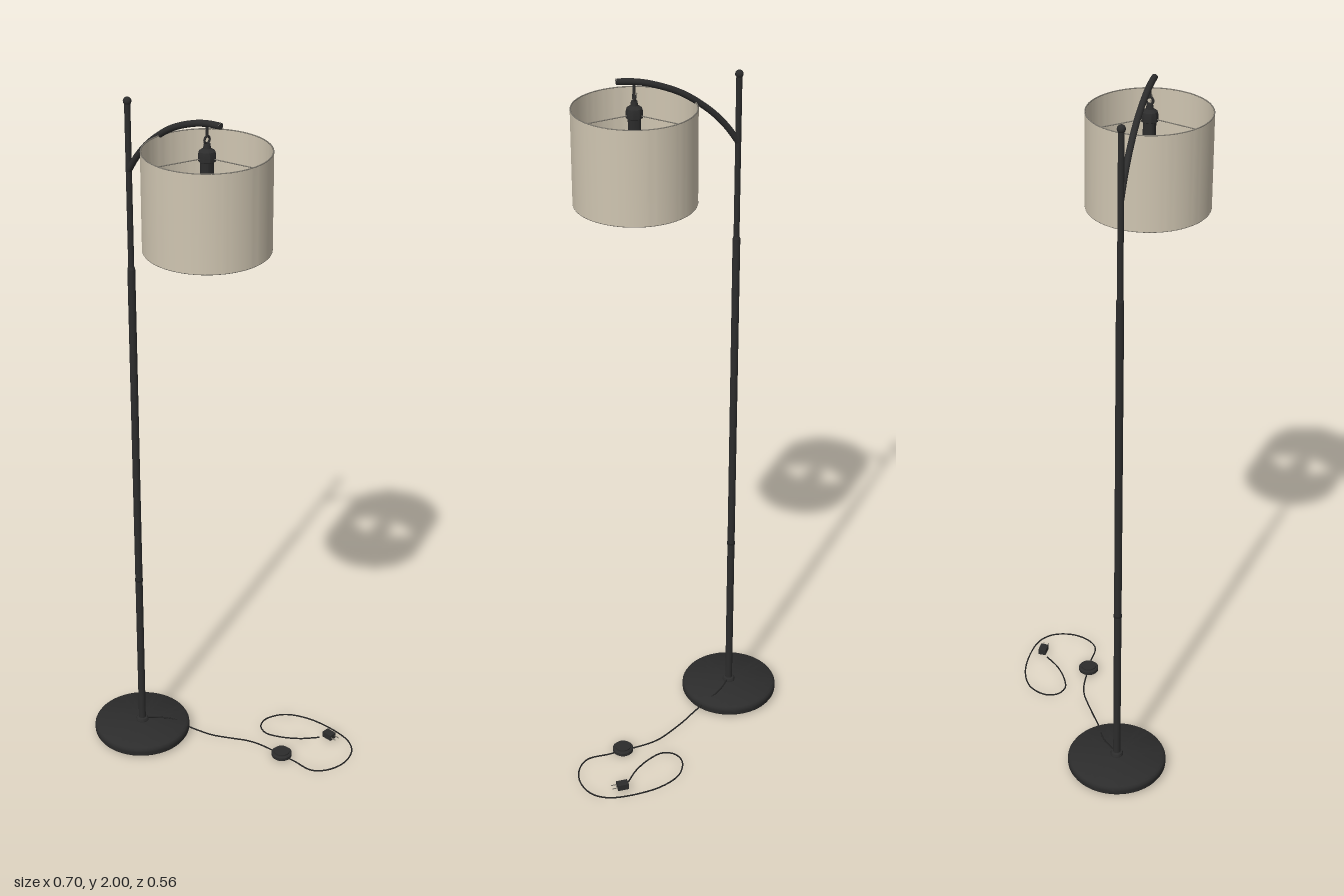
import * as THREE from 'three';
import { toCreasedNormals } from 'three/addons/utils/BufferGeometryUtils.js';

const mat = (name, color) => Object.assign(new THREE.MeshStandardMaterial({ color }), { name });

export function createModel() {
  const model = new THREE.Group();
  model.name = 'floorLamp';
  const black = mat('blackMetal', 0x2c2c2c);
  const rubber = mat('blackRubber', 0x222222);
  const linen = mat('linenShade', 0xcfc5b1);
  const wire = mat('wireMetal', 0x77736a);
  const glass = mat('bulbGlass', 0xd0c6b2);

  const poleX = -0.206, shadeX = 0.0755, axisZ = 0.113;
  const V = (x, y, z) => new THREE.Vector3(x, y, z);

  const add = (name, geometry, material, x = 0, y = 0, z = 0) => {
    const mesh = new THREE.Mesh(geometry, material);
    mesh.name = name;
    mesh.position.set(x, y, z);
    model.add(mesh);
    return mesh;
  };
  // Upright cylinder between two heights
  const post = (name, r, y0, y1, x, z, material = black, rTop = r) =>
    add(name, new THREE.CylinderGeometry(rTop, r, y1 - y0, 32), material, x, (y0 + y1) / 2, z);
  // Profile of [radius, height] pairs turned about the upright axis
  const lathe = (name, pts, material, x, z, crease = 0.6) =>
    add(name, toCreasedNormals(new THREE.LatheGeometry(pts.map(p => new THREE.Vector2(...p)), 64), crease), material, x, 0, z);
  // Thin straight rod between two points
  const rod = (name, a, b, r, material) =>
    add(name, new THREE.TubeGeometry(new THREE.LineCurve3(a, b), 1, r, 8), material);

  // Weighted base with rounded edge
  lathe('base', [[0, 0.003], [0.134, 0.003], [0.139, 0.006], [0.1425, 0.012], [0.143, 0.02],
    [0.1425, 0.028], [0.139, 0.034], [0.134, 0.037], [0, 0.037]], black, poleX, axisZ);
  lathe('baseCollar', [[0.0185, 0.036], [0.0185, 0.041], [0.016, 0.046], [0.0105, 0.048]], black, poleX, axisZ);

  // Two-stage pole with seam and ball finial
  post('lowerPole', 0.0105, 0.036, 1.52, poleX, axisZ);
  post('poleSeam', 0.0118, 0.537, 0.543, poleX, axisZ, rubber);
  post('poleStep', 0.0105, 1.52, 1.527, poleX, axisZ, black, 0.008);
  post('upperPole', 0.008, 1.52, 1.974, poleX, axisZ);
  add('finial', new THREE.SphereGeometry(0.011, 24, 16), black, poleX, 1.98, axisZ);

  // Curved arm
  const armCurve = new THREE.CatmullRomCurve3([
    V(poleX, 1.796, axisZ), V(-0.173, 1.843, axisZ), V(-0.128, 1.89, axisZ), V(-0.052, 1.944, axisZ),
    V(0.03, 1.977, axisZ), V(0.08, 1.988, axisZ), V(0.122, 1.9915, axisZ)]);
  add('arm', new THREE.TubeGeometry(armCurve, 48, 0.0085, 16), black);
  const cap = add('armCap', new THREE.CircleGeometry(0.0085, 16), black, 0.122, 1.9915, axisZ);
  cap.rotation.y = Math.PI / 2;

  // Hanging link and lamp holder
  post('hangerStem', 0.004, 1.955, 1.985, shadeX, axisZ);
  const link = add('hangerLink', new THREE.TorusGeometry(0.009, 0.003, 10, 24), black, shadeX, 1.946, axisZ);
  link.rotation.y = Math.PI / 2;
  lathe('socket', [[0, 1.937], [0.008, 1.937], [0.01, 1.925], [0.02, 1.918], [0.022, 1.91],
    [0.022, 1.893], [0.017, 1.89], [0.017, 1.85], [0, 1.85]].reverse(), black, shadeX, axisZ);

  // Light bulb
  lathe('bulb', [[0, 1.73], [0.012, 1.732], [0.024, 1.739], [0.033, 1.751], [0.038, 1.768],
    [0.036, 1.785], [0.029, 1.806], [0.02, 1.828], [0.0155, 1.85], [0.0155, 1.86]], glass, shadeX, axisZ, 1);

  // Drum shade: thin open cylinder wall
  const R = 0.1645, y0 = 1.66, y1 = 1.918;
  const ring = new THREE.Shape().absarc(0, 0, R, 0, Math.PI * 2);
  ring.holes.push(new THREE.Path().absarc(0, 0, R - 0.003, 0, Math.PI * 2, true));
  const wall = new THREE.ExtrudeGeometry(ring, { depth: y1 - y0, bevelEnabled: false, curveSegments: 64 });
  wall.rotateX(-Math.PI / 2);
  add('shade', toCreasedNormals(wall, 0.5), linen, shadeX, y0, axisZ);

  // Wire rims and three spokes
  for (const [name, y] of [['bottomRim', y0], ['topRim', y1]]) {
    add(name, new THREE.TorusGeometry(R - 0.0015, 0.0018, 8, 72).rotateX(Math.PI / 2), wire, shadeX, y, axisZ);
  }
  for (let i = 0; i < 3; i++) {
    const a = THREE.MathUtils.degToRad(-12 + i * 120);
    rod('shadeSpoke', V(shadeX + 0.02 * Math.cos(a), 1.9, axisZ + 0.02 * Math.sin(a)),
      V(shadeX + (R - 0.002) * Math.cos(a), 1.9, axisZ + (R - 0.002) * Math.sin(a)), 0.0015, wire);
  }

  // Power cord: over the base, through its edge, then along the floor
  const start = [V(-0.2, 0.043, 0.106), V(-0.175, 0.04, 0.078), V(-0.15, 0.038, 0.056), V(-0.122, 0.034, 0.041),
    V(-0.09, 0.022, 0.028), V(-0.06, 0.014, 0.013), V(-0.027, 0.006, -0.006)];
  const floor = [[0.029, -0.041], [0.065, -0.062], [0.1, -0.074], [0.15, -0.081], [0.19, -0.083], [0.23, -0.088],
    [0.298, -0.092], [0.331, -0.125], [0.345, -0.182], [0.328, -0.24], [0.29, -0.271], [0.225, -0.282],
    [0.125, -0.271], [0.06, -0.235], [0.035, -0.18], [0.048, -0.143], [0.081, -0.129], [0.122, -0.143],
    [0.174, -0.18], [0.213, -0.226]].map(([x, z]) => V(x, 0.003, z));
  add('cord', new THREE.TubeGeometry(new THREE.CatmullRomCurve3([...start, ...floor]), 220, 0.0022, 8), rubber);

  // Round foot switch
  lathe('footSwitch', [[0, 0.002], [0.027, 0.002], [0.03, 0.005], [0.03, 0.014], [0.027, 0.017], [0, 0.017]],
    black, 0.188, -0.083);
  post('switchButton', 0.023, 0.015, 0.021, 0.188, -0.083);

  // Plug with two prongs
  add('plug', new THREE.BoxGeometry(0.032, 0.018, 0.023), black, 0.234, 0.014, -0.245);
  for (const s of [-1, 1]) {
    const z = -0.245 + s * 0.0075;
    rod('plugProng', V(0.249, 0.014, z), V(0.267, 0.014, z), 0.0014, wire);
  }
  return model;
}
